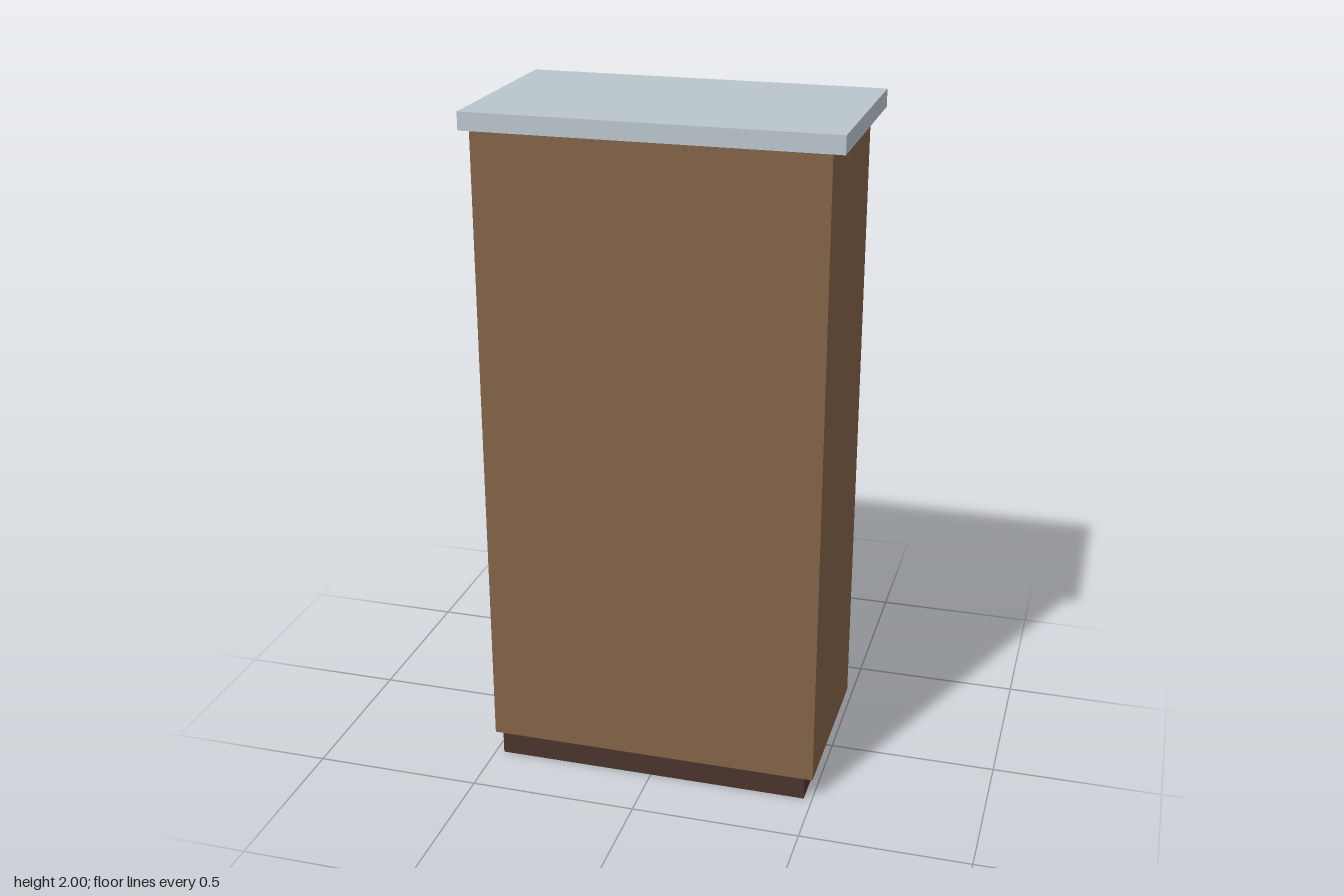
import * as THREE from 'three';
import { RoundedBoxGeometry } from 'three/addons/geometries/RoundedBoxGeometry.js';

const brown = new THREE.MeshStandardMaterial({ color: 0x826247 });
brown.name = 'mid brown wood';
const dark = new THREE.MeshStandardMaterial({ color: 0x4b342d, side: THREE.DoubleSide });
dark.name = 'dark brown wood';
const grey = new THREE.MeshStandardMaterial({ color: 0xb9c4cc });
grey.name = 'pale grey worktop';

// Places a geometry between its minimum and maximum corners
function block(name, material, min, max, radius = 0) {
  const size = max.map((v, i) => v - min[i]);
  const geometry = radius
    ? new RoundedBoxGeometry(...size, 2, radius)
    : new THREE.BoxGeometry(...size);
  const mesh = new THREE.Mesh(geometry, material);
  mesh.name = name;
  mesh.position.set(...max.map((v, i) => (v + min[i]) / 2));
  return mesh;
}

// Upright rectangular walls, open at the top and underneath
function openPlinth(x, z0, z1, height) {
  const geometry = new THREE.BoxGeometry(2 * x, height, z1 - z0);
  const index = Array.from(geometry.index.array);
  index.splice(12, 12); // drop the top and bottom faces
  geometry.setIndex(index);
  geometry.clearGroups();
  const mesh = new THREE.Mesh(geometry, dark);
  mesh.name = 'plinth';
  mesh.position.set(0, height / 2, (z0 + z1) / 2);
  return mesh;
}

export function createModel() {
  const group = new THREE.Group();
  group.name = 'tallCabinet';

  // Carcass, recessed plinth and overhanging top
  group.add(openPlinth(0.475, -0.22, 0.31, 0.068));
  group.add(block('carcass', brown, [-0.5, 0.068, -0.24], [0.5, 1.95, 0.311]));
  group.add(block('worktop', grey, [-0.533, 1.948, -0.311], [0.533, 2, 0.312]));

  // A pair of doors with upright handles beside the centre gap
  for (const side of [-1, 1]) {
    const name = side > 0 ? 'left' : 'right';
    const door = block(name + 'Door', dark, [0.02, 0.17, -0.266], [0.47, 1.836, -0.23], 0.006);
    const handle = block(name + 'Handle', dark, [0.044, 0.938, -0.298], [0.078, 1.092, -0.255], 0.006);
    for (const part of [door, handle]) {
      part.position.x *= side;
      group.add(part);
    }
  }
  return group;
}
